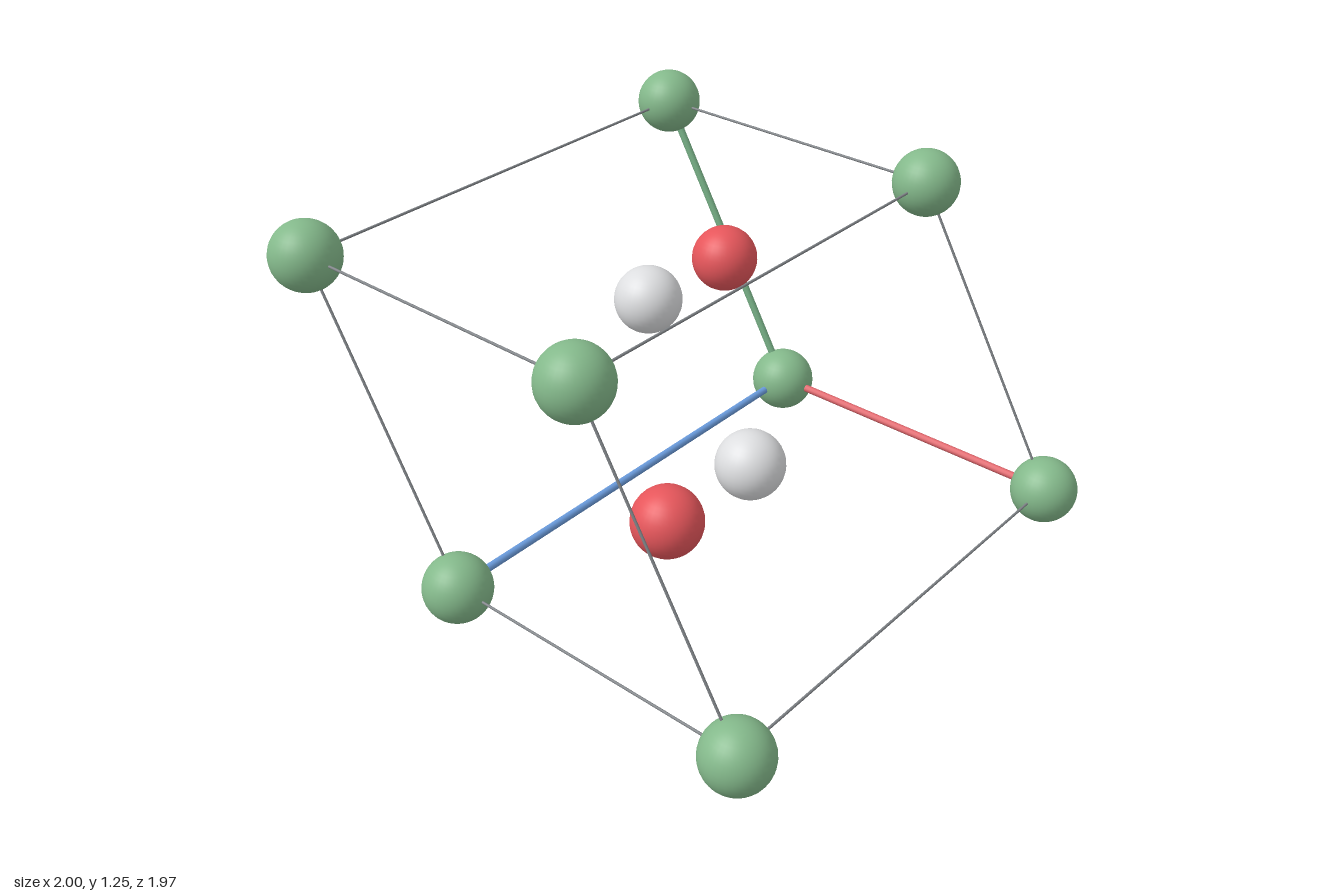
import * as THREE from 'three';

const R = 0.118;                                   // ball radius
const ORIGIN = new THREE.Vector3(-0.294, R, -0.865);
const A = new THREE.Vector3(1.176, 0, 0);          // cell vectors
const B = new THREE.Vector3(-0.588, 1.0185, 0);
const C = new THREE.Vector3(0, 0, 1.73);

function material(name, color) {
  const m = new THREE.MeshStandardMaterial({ color });
  m.name = name;
  return m;
}

// Point at fractional cell coordinates
function cellPoint(a, b, c) {
  return ORIGIN.clone().addScaledVector(A, a).addScaledVector(B, b).addScaledVector(C, c);
}

export function createModel() {
  const model = new THREE.Group();
  model.name = 'crystalCell';
  const green = material('green ball', 0x84b98b);
  const red = material('red ball', 0xe6565b);
  const grey = material('light grey ball', 0xdddee0);
  const redRod = material('red rod', 0xe0666c);
  const greenRod = material('green rod', 0x77b086);
  const blueRod = material('blue rod', 0x6a9bdc);
  const edgeGrey = material('grey edge', 0x808488);

  const ballGeometry = new THREE.SphereGeometry(R, 32, 20);
  const up = new THREE.Vector3(0, 1, 0);

  function ball(name, position, mat) {
    const mesh = new THREE.Mesh(ballGeometry, mat);
    mesh.name = name;
    mesh.position.copy(position);
    model.add(mesh);
  }

  function rod(name, from, to, radius, mat) {
    const dir = to.clone().sub(from);
    const mesh = new THREE.Mesh(new THREE.CylinderGeometry(radius, radius, dir.length(), 12), mat);
    mesh.name = name;
    mesh.position.copy(from).addScaledVector(dir, 0.5);
    mesh.quaternion.setFromUnitVectors(up, dir.normalize());
    model.add(mesh);
  }

  // Corner balls
  for (const a of [0, 1]) for (const b of [0, 1]) for (const c of [0, 1]) {
    ball('cornerBall', cellPoint(a, b, c), green);
  }

  // Four edges along each axis; the one through the origin is a thick coloured rod
  const axes = [['redAxisRod', redRod], ['greenAxisRod', greenRod], ['blueAxisRod', blueRod]];
  axes.forEach(([name, mat], axis) => {
    for (const u of [0, 1]) for (const v of [0, 1]) {
      const start = [0, 0, 0];
      start[(axis + 1) % 3] = u;
      start[(axis + 2) % 3] = v;
      const end = [...start];
      end[axis] = 1;
      const isAxis = u + v === 0;
      rod(isAxis ? name : 'cellEdge', cellPoint(...start), cellPoint(...end),
        isAxis ? 0.014 : 0.0045, isAxis ? mat : edgeGrey);
    }
  });

  // Inner balls, in two point-mirrored pairs
  for (const s of [-1, 1]) {
    const x = s * 0.294, y = R + 1.0185 * (s < 0 ? 2 / 3 : 1 / 3);
    ball('innerGreyBall', new THREE.Vector3(x, y, s * 0.082), grey);
    ball('innerRedBall', new THREE.Vector3(x, y, s * 0.493), red);
  }
  return model;
}
